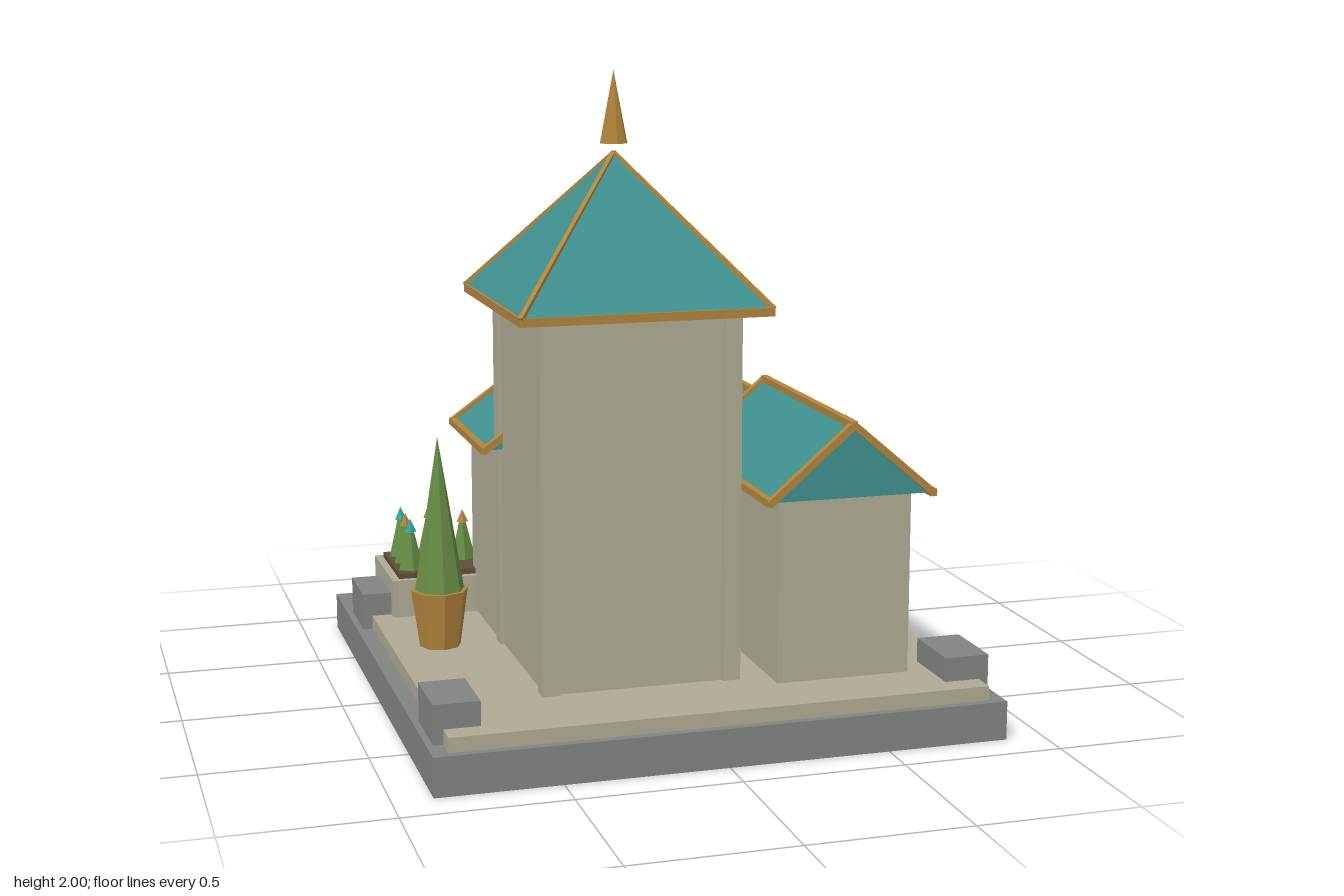
import * as THREE from 'three';

const mat = (name, color) => {
  const m = new THREE.MeshStandardMaterial({ color });
  m.name = name;
  return m;
};

export function createModel() {
  const root = new THREE.Group();
  root.name = 'towerChapel';
  const stone = mat('pale stone', 0xaeaa94), gray = mat('gray stone', 0x828481);
  const teal = mat('teal roof', 0x40908f), gold = mat('gold trim', 0xb0843c);
  const brown = mat('brown wood', 0x85593a), soil = mat('dark soil', 0x5f4d36);
  const green = mat('leaf green', 0x668d45), bright = mat('bright teal', 0x33a59c);
  const dark = mat('dark recess', 0x40382e);

  const add = (name, geo, material, x = 0, y = 0, z = 0, parent = root) => {
    const m = new THREE.Mesh(geo, material);
    m.name = name;
    m.position.set(x, y, z);
    parent.add(m);
    return m;
  };
  // Box given by its limits on each axis
  const box = (name, material, x0, x1, y0, y1, z0, z1, parent = root) =>
    add(name, new THREE.BoxGeometry(x1 - x0, y1 - y0, z1 - z0), material,
      (x0 + x1) / 2, (y0 + y1) / 2, (z0 + z1) / 2, parent);
  // Faceted cone or frustum standing on y0
  const cone = (name, material, rTop, rBottom, x, y0, y1, z, sides, parent = root) => {
    const g = new THREE.CylinderGeometry(rTop, rBottom, y1 - y0, sides).toNonIndexed();
    g.computeVertexNormals();
    return add(name, g, material, x, (y0 + y1) / 2, z, parent);
  };
  // Square beam between two points
  const beam = (name, material, a, b, t, parent = root) => {
    const p = new THREE.Vector3(...a), q = new THREE.Vector3(...b);
    const m = add(name, new THREE.BoxGeometry(t, t, p.distanceTo(q) + t * 0.5), material, 0, 0, 0, parent);
    m.position.copy(p).add(q).multiplyScalar(0.5);
    m.lookAt(q);
    return m;
  };
  // Flat outline extruded from z0 to z1
  const plate = (name, material, pts, x, y, z0, z1, parent = root) => {
    const shape = new THREE.Shape(pts.map(p => new THREE.Vector2(...p)));
    const g = new THREE.ExtrudeGeometry(shape, { depth: z1 - z0, bevelEnabled: false });
    return add(name, g, material, x, y, z0, parent);
  };
  const arch = (w, shoulder, h) => [[-w, 0], [w, 0], [w, shoulder], [w * 0.6, shoulder + (h - shoulder) * 0.55],
    [0, h], [-w * 0.6, shoulder + (h - shoulder) * 0.55], [-w, shoulder]];
  const diamond = (w, h) => [[0, -h], [w, 0], [0, h], [-w, 0]];

  // Base, paving and corner blocks
  box('base', gray, -0.88, 0.88, 0, 0.12, -0.88, 0.88);
  box('paving', stone, -0.83, 0.83, 0.12, 0.165, -0.8, 0.855);
  for (const s of [-1, 1]) for (const [z0, z1] of [[0.56, 0.78], [-0.645, -0.42]])
    box('cornerBlock', gray, s * 0.79 - 0.07, s * 0.79 + 0.07, 0.12, 0.24, z0, z1);

  // Steps behind
  [[0.25, -0.755], [0.195, -0.8], [0.135, -0.84]].forEach(([y, z]) =>
    box('step', stone, -0.225, 0.215, 0.12, y, z, -0.65));

  // Tower with corner pilasters
  const tx = -0.18, tz = 0.27;
  box('towerWall', stone, tx - 0.297, tx + 0.297, 0.165, 1.295, tz - 0.297, tz + 0.297);
  for (const sx of [-1, 1]) for (const sz of [-1, 1]) {
    const cx = tx + sx * 0.2825, cz = tz + sz * 0.2825;
    box('towerPilaster', stone, cx - 0.0275, cx + 0.0275, 0.165, 1.29, cz - 0.0275, cz + 0.0275);
  }

  // Tower roof: eave board, pyramid, hips and finial
  const half = 0.38;
  box('towerEave', gold, tx - 0.385, tx + 0.385, 1.292, 1.318, tz - 0.385, tz + 0.385);
  const pyramid = cone('towerRoof', teal, 0, half * Math.SQRT2, tx, 1.315, 1.755, tz, 4);
  pyramid.rotation.y = Math.PI / 4;
  for (const sx of [-1, 1]) for (const sz of [-1, 1])
    beam('towerHip', gold, [tx + sx * half, 1.316, tz + sz * half], [tx, 1.75, tz], 0.014);
  cone('finial', gold, 0, 0.043, tx, 1.78, 2, tz, 8);

  // Gabled roof with gold ridge, eaves and rakes
  const gableRoof = (name, x, w, y0, y1, z0, z1) => {
    const g = new THREE.Group();
    g.name = name;
    root.add(g);
    plate('roofSlopes', teal, [[-w, 0], [w, 0], [0, y1 - y0]], x, y0, z0, z1, g);
    const t = 0.022;
    beam('ridge', gold, [x, y1, z0], [x, y1, z1], t, g);
    for (const s of [-1, 1]) {
      beam('eave', gold, [x + s * w, y0, z0], [x + s * w, y0, z1], t, g);
      for (const z of [z0, z1]) beam('rake', gold, [x + s * w, y0, z], [x, y1, z], t, g);
    }
  };

  // Side wing
  box('wingWall', stone, 0.225, 0.65, 0.165, 0.745, -0.05, 0.65);
  gableRoof('wingRoof', 0.44, 0.26, 0.74, 0.962, -0.1, 0.7);

  // Entrance hall
  box('hallWall', stone, -0.48, 0.12, 0.165, 0.81, -0.44, 0);
  gableRoof('hallRoof', tx, 0.355, 0.803, 1.055, -0.475, 0.02);

  // Door in a pointed surround
  plate('doorSurround', stone, arch(0.165, 0.29, 0.48), tx, 0.175, -0.46, -0.44);
  plate('door', brown, arch(0.12, 0.25, 0.4), tx, 0.18, -0.466, -0.459);

  // Layered diamond on the gable
  [[0.085, 0.125, gold], [0.073, 0.108, teal], [0.05, 0.08, gold], [0.04, 0.066, bright]].forEach(([w, h, m], i) =>
    plate('gableDiamond', m, diamond(w, h), tx, 0.865, -0.489 - i * 0.005, -0.475));

  // Banners beside the door
  for (const s of [-1, 1]) {
    const x = tx + s * 0.245;
    plate('banner', bright, [[-0.035, 0.04], [0, 0], [0.035, 0.04], [0.035, 0.31], [-0.035, 0.31]], x, 0.395, -0.449, -0.44);
    box('bannerRod', gold, x - 0.045, x + 0.045, 0.7, 0.72, -0.458, -0.44);
    plate('bannerMark', gold, diamond(0.016, 0.03), x, 0.57, -0.454, -0.449);
  }

  // Tower windows
  for (const x of [-0.32, -0.04]) {
    plate('windowSurround', stone, arch(0.043, 0.1, 0.17), x, 1.05, -0.056, -0.03);
    plate('windowRecess', dark, arch(0.03, 0.09, 0.14), x, 1.062, -0.059, -0.055);
    plate('windowPane', gold, arch(0.02, 0.075, 0.11), x, 1.07, -0.063, -0.058);
  }

  // Porch roof, posts and counter
  gableRoof('porchRoof', 0.475, 0.255, 0.715, 0.882, -0.46, -0.09);
  for (const s of [-1, 1]) {
    const x = 0.475 + s * 0.21;
    box('postBase', gray, x - 0.053, x + 0.053, 0.165, 0.35, -0.46, -0.352);
    box('porchPost', brown, x - 0.03, x + 0.03, 0.35, 0.725, -0.435, -0.375);
  }
  box('counterPlinth', stone, 0.35, 0.6, 0.165, 0.415, -0.285, -0.165);
  box('counterPanel', brown, 0.33, 0.62, 0.285, 0.38, -0.3, -0.15);
  box('counterTop', bright, 0.34, 0.61, 0.415, 0.43, -0.297, -0.153);

  // Planters with rows of small bushes
  const planter = (x, skip) => {
    const g = new THREE.Group();
    g.name = 'planter';
    root.add(g);
    box('planterWall', stone, x - 0.175, x + 0.175, 0.165, 0.29, -0.73, -0.378, g);
    box('planterSoil', soil, x - 0.15, x + 0.15, 0.28, 0.308, -0.7, -0.4, g);
    for (let r = 0; r < 3; r++) for (let c = 0; c < 3; c++) {
      if (skip.includes(r * 3 + c)) continue;
      const px = x + (c - 1) * 0.098, pz = -0.555 + (r - 1) * 0.092;
      cone('bush', green, 0.008, 0.045, px, 0.305, 0.45, pz, 5, g);
      cone('blossom', (r + c) % 2 ? gold : bright, 0, 0.021, px, 0.435, 0.478, pz, 5, g);
    }
  };
  planter(-0.59, [2, 8]);
  planter(0.545, [2]);

  // Potted cypresses
  for (const x of [-0.675, 0.705]) {
    cone('pot', gold, 0.092, 0.066, x, 0.165, 0.35, -0.035, 8);
    cone('cypress', green, 0, 0.08, x, 0.345, 0.845, -0.035, 8);
  }
  return root;
}
